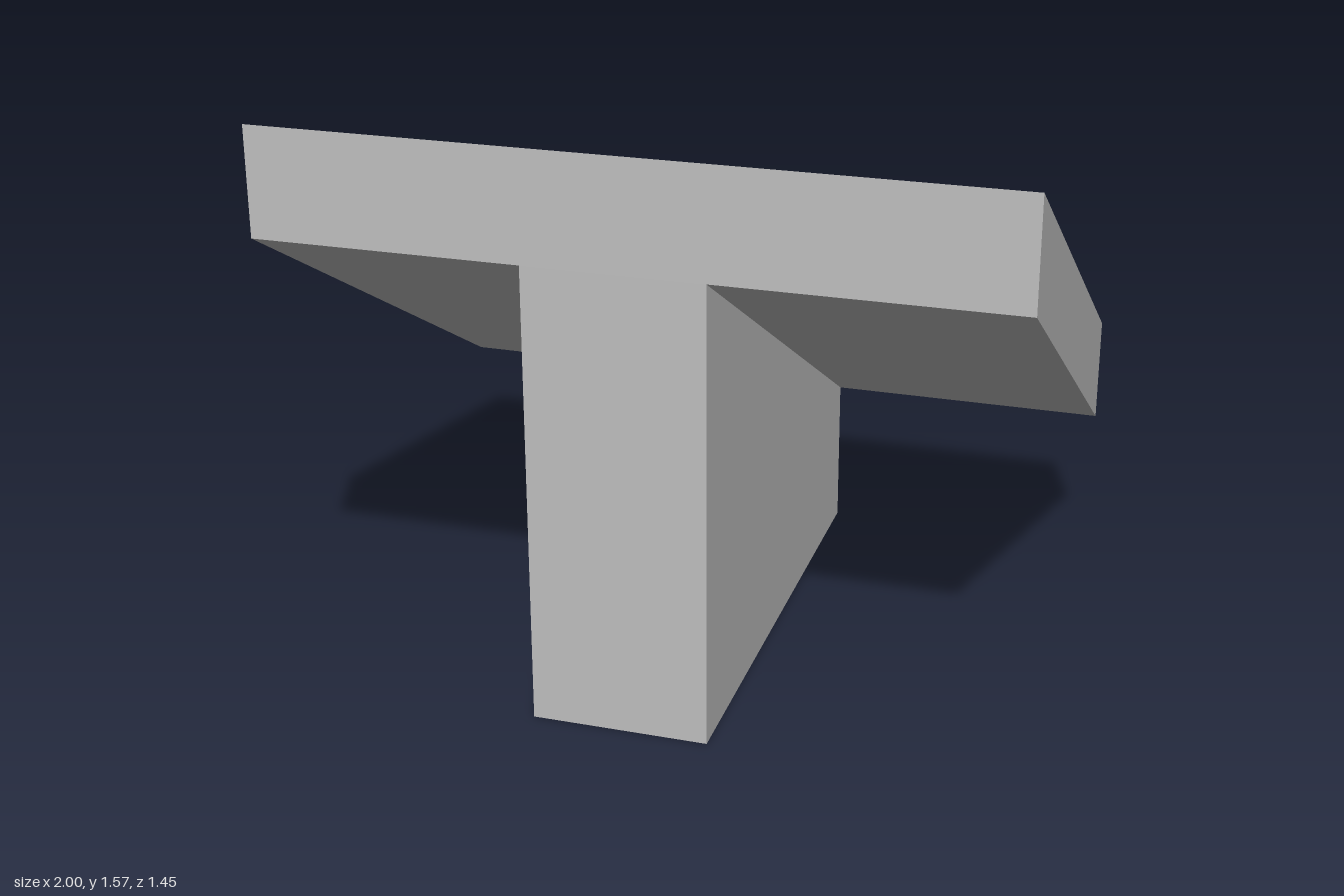
import * as THREE from 'three';

const DEPTH = 1.45;
const SLOPE = 0.578;

export function createModel() {
  const group = new THREE.Group();
  const lightGrey = new THREE.MeshStandardMaterial({ color: 0xc0c0c0 });
  lightGrey.name = 'lightGrey';

  // T-shaped section: thick slab on an off-centre stem
  const left = -0.273, right = 0.207, under = 0.852, top = 1.152;
  const section = new THREE.Shape([
    [left, 0], [right, 0], [right, under], [1, under],
    [1, top], [-1, top], [-1, under], [left, under],
  ].map(([x, y]) => new THREE.Vector2(x, y)));

  const geometry = new THREE.ExtrudeGeometry(section, { depth: DEPTH, bevelEnabled: false });
  geometry.translate(0, 0, -DEPTH / 2);

  // Shear the slab so it rises towards the front; the base stays level
  const p = geometry.attributes.position;
  for (let i = 0; i < p.count; i++) {
    if (p.getY(i) > 0.5) p.setY(i, p.getY(i) + SLOPE * p.getZ(i));
  }
  geometry.computeVertexNormals();

  const beam = new THREE.Mesh(geometry, lightGrey);
  beam.name = 'slopedSlabAndStem';
  group.add(beam);
  return group;
}
